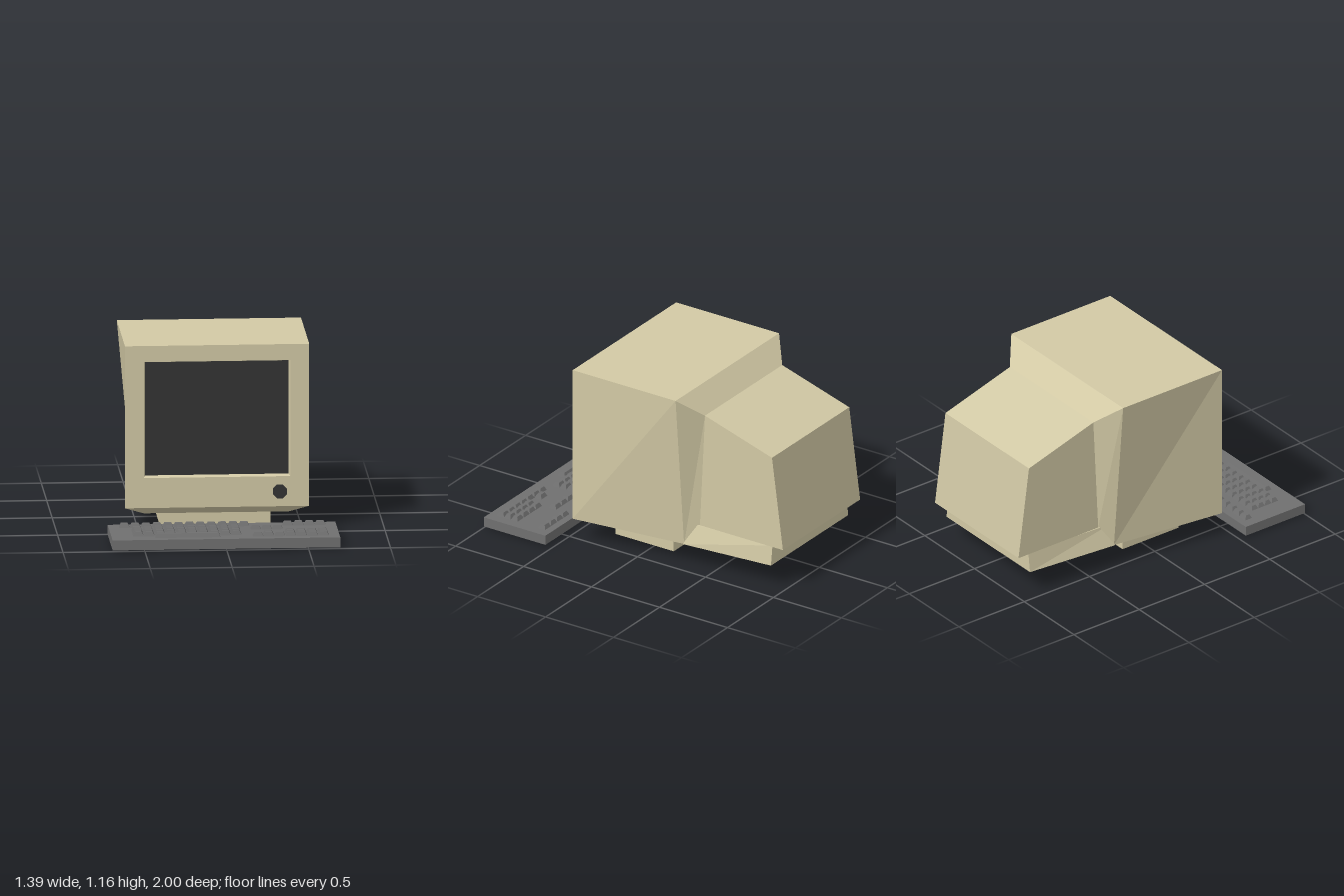
import * as THREE from 'three';

const material = (color) => new THREE.MeshStandardMaterial({ color, flatShading: true, side: THREE.DoubleSide });
const beige = material(0xd2c9a5);
const dark = material(0x333333);
const grey = material(0x707070);

function add(parent, name, geometry, mat, x = 0, y = 0, z = 0) {
  const mesh = new THREE.Mesh(geometry, mat);
  mesh.name = name;
  mesh.position.set(x, y, z);
  parent.add(mesh);
  return mesh;
}

// Skin four-sided sections, listed front to back.
// Each section: [bottom half width, y, z, top half width, y, z]
function loft(sections, frontCap = true, backCap = true) {
  const points = sections.flatMap(([w0, y0, z0, w1, y1, z1]) =>
    [-w0, y0, z0, w0, y0, z0, w1, y1, z1, -w1, y1, z1]);
  const index = [];
  for (let s = 0; s < sections.length - 1; s++) {
    for (let i = 0; i < 4; i++) {
      const a = s * 4 + i, b = s * 4 + (i + 1) % 4;
      index.push(a, a + 4, b + 4, a, b + 4, b);
    }
  }
  const n = (sections.length - 1) * 4;
  if (frontCap) index.push(0, 1, 2, 0, 2, 3);
  if (backCap) index.push(n, n + 2, n + 1, n, n + 3, n + 2);
  const indexed = new THREE.BufferGeometry();
  indexed.setAttribute('position', new THREE.Float32BufferAttribute(points, 3));
  indexed.setIndex(index);
  const geometry = indexed.toNonIndexed();
  geometry.computeVertexNormals();
  return geometry;
}

function rectangle(path, w, y0, y1) {
  path.moveTo(-w, y0).lineTo(w, y0).lineTo(w, y1).lineTo(-w, y1).closePath();
  return path;
}

// Key with its top face drawn in
function keyGeometry(width) {
  const w = width / 2, inset = 0.012;
  return loft([
    [w, 0, 0.025, w - inset, 0.025, 0.013],
    [w, 0, -0.025, w - inset, 0.025, -0.013],
  ]);
}

function createMonitor() {
  const monitor = new THREE.Group();
  monitor.name = 'monitor';
  monitor.position.x = -0.0225;
  const front = 0.45;

  // Casing, shoulder and sloping tube housing
  add(monitor, 'casing', loft([
    [0.5625, 0.15, front, 0.5625, 1.16, front],
    [0.47, 0.15, -0.307, 0.5625, 1.16, -0.307],
    [0.42, 0.28, -0.39, 0.42, 1.035, -0.427],
    [0.42, 0.28, -1, 0.42, 0.885, -0.92],
  ], false), beige);

  // Front frame with the screen opening
  const frame = rectangle(new THREE.Shape(), 0.5625, 0.15, 1.16);
  frame.holes.push(rectangle(new THREE.Path(), 0.4475, 0.337, 1.06));
  add(monitor, 'frontFrame', new THREE.ShapeGeometry(frame), beige, 0, 0, front);

  // Tapered recess and flat screen
  add(monitor, 'screenRecess', loft([
    [0.4475, 0.337, front, 0.4475, 1.06, front],
    [0.4385, 0.346, front - 0.035, 0.4385, 1.052, front - 0.035],
  ], false, false), beige);
  add(monitor, 'screen', new THREE.PlaneGeometry(0.877, 0.706), dark, 0, 0.699, front - 0.035);

  // Chamfered underside
  add(monitor, 'underside', loft([
    [0.4435, 0.1, 0.37, 0.5625, 0.15, front],
    [0.38, 0.1, -0.225, 0.47, 0.15, -0.307],
  ]), beige);

  // Tray below the tube housing
  add(monitor, 'rearTray', loft([
    [0.475, 0.15, -0.306, 0.432, 0.28, -0.306],
    [0.42, 0.15, -0.912, 0.403, 0.28, -0.912],
  ]), beige);

  add(monitor, 'foot', new THREE.BoxGeometry(0.675, 0.1, 0.43), beige, 0, 0.05, 0.074);

  // Knob
  const knob = new THREE.CylinderGeometry(0.045, 0.045, 0.03, 8);
  knob.rotateY(Math.PI / 8).rotateX(Math.PI / 2);
  add(monitor, 'knob', knob, dark, 0.3825, 0.245, 0.456);
  return monitor;
}

function createKeyboard() {
  const keyboard = new THREE.Group();
  keyboard.name = 'keyboard';
  const top = 0.07;
  add(keyboard, 'keyboardCase', new THREE.BoxGeometry(1.39, 0.062, 0.453), grey, -0.002, 0.039, 0.7735);

  // Key rows: [left edge x, number of keys, z]
  const pitch = 0.0664;
  const rows = [
    [-0.634, 12, 0.618], [0.363, 4, 0.618],
    ...[0.719, 0.77, 0.82, 0.871].map((z) => [-0.565, 10, z]),
    [0.162, 3, 0.719], [0.2284, 1, 0.871], [0.162, 3, 0.921],
    ...[0.82, 0.871, 0.921].map((z) => [0.363, 4, z]),
  ];
  const key = keyGeometry(0.065);
  for (const [x, count, z] of rows) {
    for (let i = 0; i < count; i++) add(keyboard, 'key', key, grey, x + (i + 0.5) * pitch, top, z);
  }
  add(keyboard, 'spaceBar', keyGeometry(0.398), grey, -0.233, top, 0.921);
  return keyboard;
}

export function createModel() {
  const model = new THREE.Group();
  model.name = 'desktopComputer';
  model.add(createMonitor(), createKeyboard());
  return model;
}
